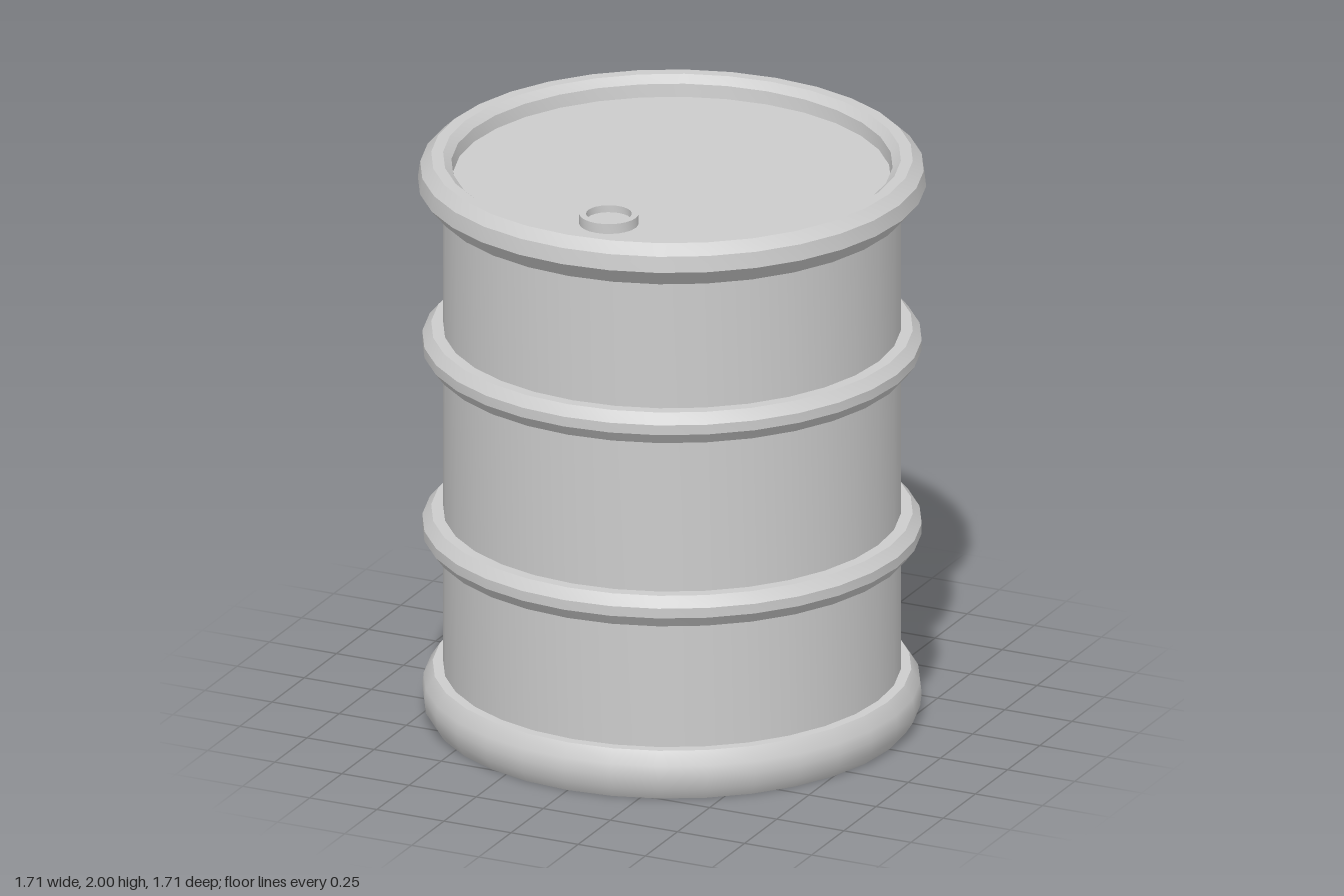
import * as THREE from 'three';
import { toCreasedNormals } from 'three/addons/utils/BufferGeometryUtils.js';

const SEGMENTS = 32;
const metal = new THREE.MeshStandardMaterial({ color: 0xcccccc });

// Revolves [radius, y] pairs, listed from the bottom up the outer side
function turned(name, profile, crease = 0.55, segments = SEGMENTS) {
  const points = profile.map(([r, y]) => new THREE.Vector2(r, y));
  const mesh = new THREE.Mesh(toCreasedNormals(new THREE.LatheGeometry(points, segments), crease), metal);
  mesh.name = name;
  return mesh;
}

export function createModel() {
  const drum = new THREE.Group();
  drum.name = 'drum';

  // Straight wall between the base and the top rim
  drum.add(turned('wall', [[0.77, 0.1], [0.77, 1.9]]));

  // Rounded base with a flat underside
  drum.add(turned('base', [
    [0, 0], [0.81, 0], [0.835, 0.04], [0.84, 0.085], [0.835, 0.125], [0.805, 0.17], [0.765, 0.17],
  ], 0.75));

  // Two bevelled rolling hoops
  for (const [name, y] of [['lowerHoop', 0.62], ['upperHoop', 1.28]]) {
    const hoop = turned(name, [
      [0.765, 0], [0.81, 0], [0.84, 0.04], [0.84, 0.075], [0.81, 0.11], [0.765, 0.11],
    ]);
    hoop.position.y = y;
    drum.add(hoop);
  }

  // Top rim with its sloping inner lip, and the sunken lid
  drum.add(turned('topRim', [
    [0.765, 1.85], [0.805, 1.85], [0.855, 1.91], [0.847, 1.965], [0.81, 2], [0.77, 2], [0.742, 1.975], [0.735, 1.92],
  ]));
  drum.add(turned('lid', [[0.75, 1.93], [0, 1.93]]));

  // Bung: a raised ring around a recessed plug
  const bung = turned('bung', [
    [0.1, 0], [0.1, 0.035], [0.077, 0.035], [0.077, 0.01], [0, 0.01],
  ], 0.55, 24);
  bung.position.set(0, 1.93, 0.49);
  drum.add(bung);

  return drum;
}
